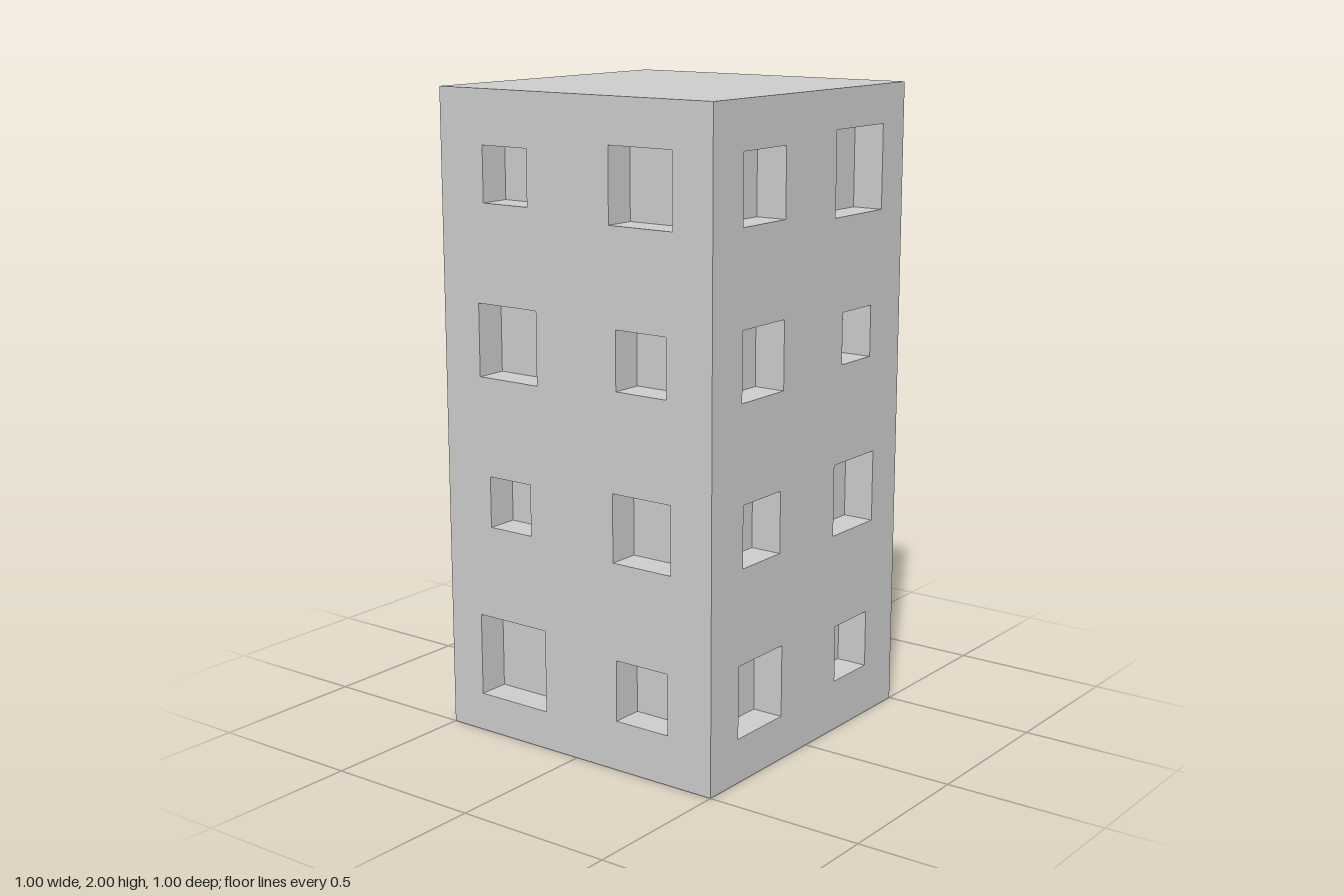
import * as THREE from 'three';

const WIDTH = 1, HEIGHT = 2, DEPTH = 0.1;
const COLUMNS = [-0.25, 0.25];
const ROWS = [0.25, 0.75, 1.25, 1.75];

// Window sizes per facade, bottom row first: [left column, right column]
const PATTERN = [[0.225, 0.18], [0.19, 0.225], [0.21, 0.16], [0.21, 0.26]];
const VARIANT = [[0.26, 0.19], [0.16, 0.21], [0.225, 0.18], [0.17, 0.225]];

const material = new THREE.MeshStandardMaterial({ color: 0xcccccc, flatShading: true });

function rectangle(target, x, y, w, h) {
  target.moveTo(x - w / 2, y - h / 2);
  target.lineTo(x + w / 2, y - h / 2);
  target.lineTo(x + w / 2, y + h / 2);
  target.lineTo(x - w / 2, y + h / 2);
  target.closePath();
  return target;
}

// Open-fronted box whose faces point inward
function recessGeometry(size) {
  const g = new THREE.BoxGeometry(size, size, DEPTH);
  g.setIndex(Array.from(g.index.array).slice(0, 30)); // drop the face that becomes the opening
  g.clearGroups();
  g.scale(1, 1, -1); // turn the box inside out
  g.computeVertexNormals();
  return g;
}

function addMesh(parent, name, geometry) {
  const mesh = new THREE.Mesh(geometry, material);
  mesh.name = name;
  parent.add(mesh);
  return mesh;
}

// One wall with its window openings and recesses
function createFacade(name, sizes) {
  const facade = new THREE.Group();
  facade.name = name;
  const wall = rectangle(new THREE.Shape(), 0, HEIGHT / 2, WIDTH, HEIGHT);
  ROWS.forEach((y, row) => COLUMNS.forEach((x, column) => {
    const size = sizes[row][column];
    wall.holes.push(rectangle(new THREE.Path(), x, y, size, size));
    addMesh(facade, 'windowRecess', recessGeometry(size))
      .position.set(x, y, WIDTH / 2 - DEPTH / 2);
  }));
  addMesh(facade, 'wall', new THREE.ShapeGeometry(wall)).position.z = WIDTH / 2;
  return facade;
}

export function createModel() {
  const tower = new THREE.Group();
  tower.name = 'towerBlock';

  // Four facades turned around the vertical axis
  const sides = [['front', PATTERN], ['positiveXSide', PATTERN], ['back', PATTERN], ['negativeXSide', VARIANT]];
  sides.forEach(([name, sizes], i) => {
    const facade = createFacade(name + 'Facade', sizes);
    facade.rotation.y = i * Math.PI / 2;
    tower.add(facade);
  });

  // Roof and underside
  const roof = addMesh(tower, 'roof', new THREE.PlaneGeometry(WIDTH, WIDTH));
  roof.rotation.x = -Math.PI / 2;
  roof.position.y = HEIGHT;
  addMesh(tower, 'base', new THREE.PlaneGeometry(WIDTH, WIDTH)).rotation.x = Math.PI / 2;

  return tower;
}
